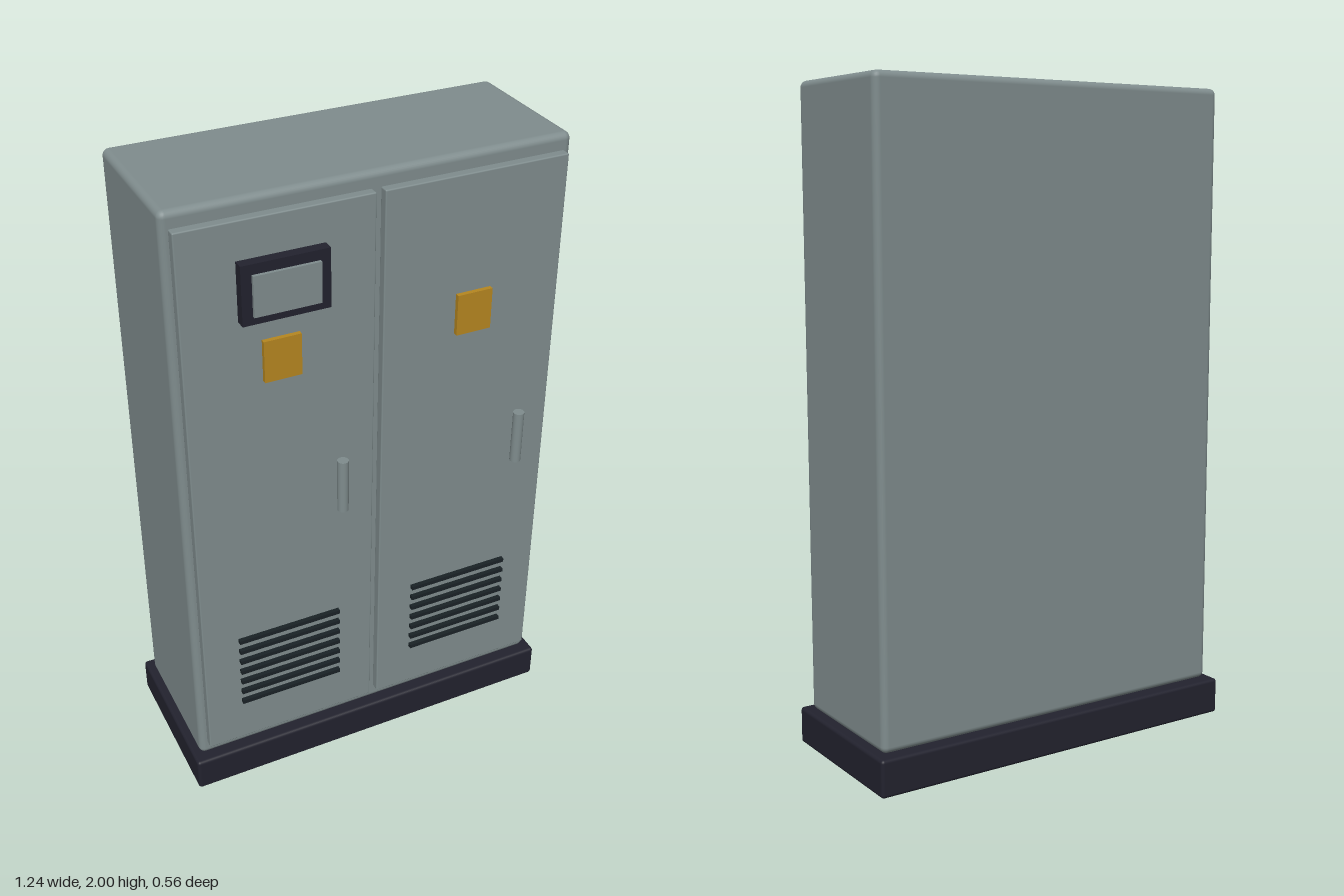
import * as THREE from 'three';
import { RoundedBoxGeometry } from 'three/addons/geometries/RoundedBoxGeometry.js';

function material(name, color) {
  const m = new THREE.MeshStandardMaterial({ color });
  m.name = name;
  return m;
}

export function createModel() {
  const grey = material('cabinet grey', 0x7f8c8d);
  const dark = material('plinth dark', 0x22222e);
  const black = material('vent black', 0x1a2226);
  const amber = material('label amber', 0xb58620);

  const group = new THREE.Group();
  group.name = 'electricalCabinet';

  // Box given by its limits on each axis, optionally with rounded edges
  function box(name, mat, [x0, x1], [y0, y1], [z0, z1], radius = 0) {
    const size = [x1 - x0, y1 - y0, z1 - z0];
    const geo = radius
      ? new RoundedBoxGeometry(...size, 3, radius)
      : new THREE.BoxGeometry(...size);
    const mesh = new THREE.Mesh(geo, mat);
    mesh.name = name;
    mesh.position.set((x0 + x1) / 2, (y0 + y1) / 2, (z0 + z1) / 2);
    group.add(mesh);
  }

  // Plinth and housing
  box('plinth', dark, [-0.622, 0.622], [0, 0.113], [-0.28, 0.243], 0.01);
  box('housing', grey, [-0.599, 0.599], [0.113, 2], [-0.247, 0.21], 0.02);

  // Two doors, each with a label, handle and vent slats
  for (const [side, x] of [['right', -0.294], ['left', 0.294]]) {
    box(side + 'Door', grey, [x - 0.281, x + 0.281], [0.164, 1.953], [0.208, 0.238], 0.004);
    box(side + 'Label', amber, [x - 0.055, x + 0.055], [1.47, 1.597], [0.238, 0.252]);

    const handle = new THREE.Mesh(new THREE.CylinderGeometry(0.017, 0.017, 0.175, 20), grey);
    handle.name = side + 'Handle';
    handle.position.set(x + 0.174, 1.063, 0.258);
    group.add(handle);

    for (let i = 0; i < 7; i++) {
      const y = 0.325 + i * 0.0413;
      box(side + 'VentSlat', black, [x - 0.167, x + 0.167], [y - 0.0065, y + 0.0065], [0.236, 0.252]);
    }
  }

  // Control screen on the right door
  box('screenFrame', dark, [-0.413, -0.16], [1.667, 1.842], [0.236, 0.27]);
  box('screenPanel', grey, [-0.383, -0.19], [1.692, 1.812], [0.26, 0.28]);

  return group;
}
